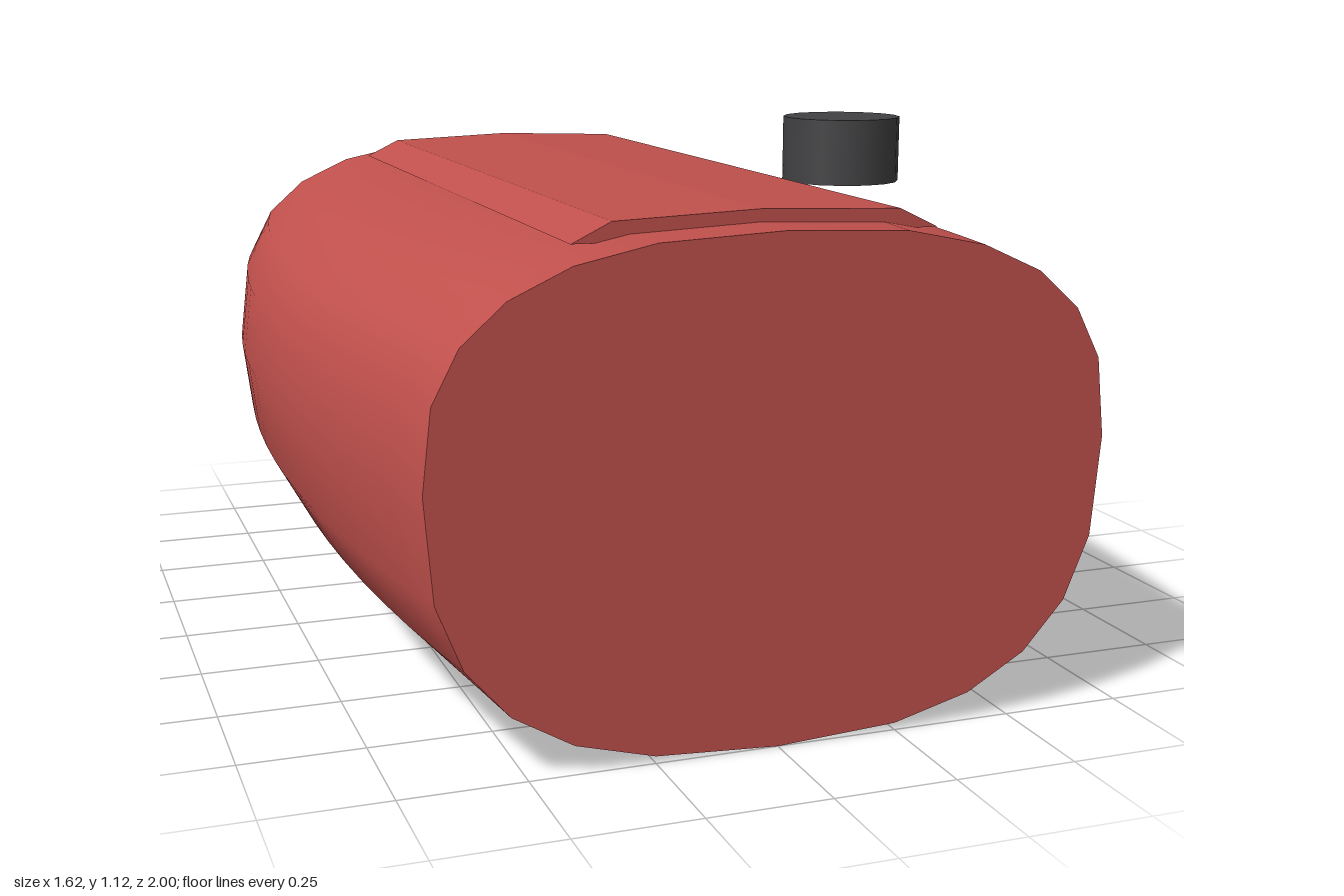
import * as THREE from 'three';

const RED = 0xc0504c, DARK = 0x424244;
const SEGS = 24, STEPS = 16;
const soft = v => Math.sign(v) * Math.abs(v) ** 0.75;

// Superellipse outline of the shell: bulged at mid-length, with a sloping underside
function section(z) {
  const halfWidth = 0.81 - 0.12 * z * z;
  const depth = 0.56 - 0.17 * (1 - z) / 2;
  return Array.from({ length: SEGS }, (_, i) => {
    const a = (i / SEGS) * Math.PI * 2;
    const s = Math.abs(Math.sin(a)) < 1e-9 ? 0 : soft(Math.sin(a));
    const c = Math.abs(Math.cos(a)) < 1e-9 ? 0 : soft(Math.cos(a));
    return [halfWidth * c, 0.56 + (s > 0 ? 0.44 : depth) * s, z];
  });
}

function geometryFrom(points, index) {
  const geo = new THREE.BufferGeometry();
  geo.setAttribute('position', new THREE.Float32BufferAttribute(points.flat(), 3));
  geo.setIndex(index);
  geo.computeVertexNormals();
  return geo;
}

// Loft of the sections from back to front
function shellGeometry() {
  const points = [], index = [];
  for (let j = 0; j <= STEPS; j++) points.push(...section(-1 + (2 * j) / STEPS));
  for (let j = 0; j < STEPS; j++) {
    for (let i = 0; i < SEGS; i++) {
      const a = j * SEGS + i, b = j * SEGS + (i + 1) % SEGS;
      index.push(a, b, b + SEGS, a, b + SEGS, a + SEGS);
    }
  }
  return geometryFrom(points, index);
}

// Flat fan closing one end
function endGeometry(z) {
  const index = [];
  for (let i = 1; i < SEGS - 1; i++) index.push(0, ...(z > 0 ? [i, i + 1] : [i + 1, i]));
  return geometryFrom(section(z), index);
}

export function createModel() {
  const group = new THREE.Group();
  const red = new THREE.MeshStandardMaterial({ color: RED });
  const dark = new THREE.MeshStandardMaterial({ color: DARK });
  const add = (name, geometry, material) => {
    const mesh = new THREE.Mesh(geometry, material);
    mesh.name = name;
    group.add(mesh);
    return mesh;
  };

  // Body
  add('body', shellGeometry(), red);
  add('frontEnd', endGeometry(1), red);
  add('backEnd', endGeometry(-1), red);

  // Shallow raised panel on top
  const profile = [[-0.375, 0.975], [0.375, 0.975], [0.295, 1.014], [0, 1.025], [-0.295, 1.014]];
  const shape = new THREE.Shape(profile.map(([x, y]) => new THREE.Vector2(x, y)));
  const panel = new THREE.ExtrudeGeometry(shape, { depth: 1.75, bevelEnabled: false });
  add('topPanel', panel.translate(0, 0, -0.875), red);

  // Round cap on the left shoulder
  add('cap', new THREE.CylinderGeometry(0.136, 0.136, 0.15, 16), dark).position.set(0.56, 1.05, 0.06);

  return group;
}
